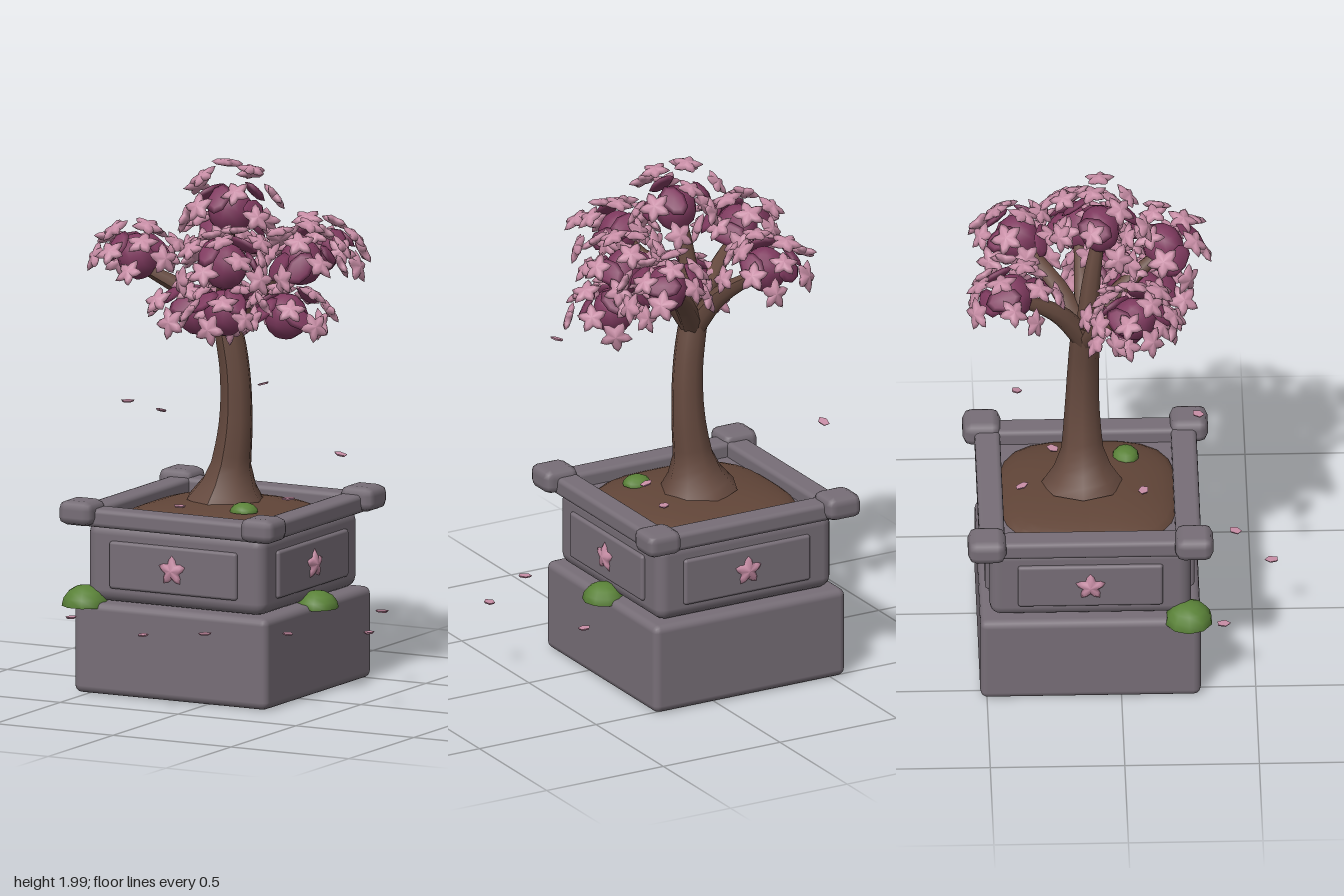
import * as THREE from 'three';
import { mergeGeometries } from 'three/addons/utils/BufferGeometryUtils.js';
import { RoundedBoxGeometry } from 'three/addons/geometries/RoundedBoxGeometry.js';

const CX = -0.15, CZ = -0.115; // centre of the planter
const mat = (name, color, side = THREE.FrontSide) => {
  const m = new THREE.MeshStandardMaterial({ color, side });
  m.name = name;
  return m;
};
const stone = mat('stone grey', 0x776e77);
const bark = mat('bark brown', 0x664a3f);
const soilMat = mat('soil brown', 0x614538);
const plum = mat('foliage plum', 0x7f3a5f);
const pink = mat('blossom pink', 0xc88ea6);
const green = mat('moss green', 0x5a8238);

let seed = 7;
const rand = () => (seed = (seed * 16807) % 2147483647) / 2147483647;
const V = (x, y, z) => new THREE.Vector3(x, y, z);

function add(parent, name, geo, material, x = 0, y = 0, z = 0) {
  const mesh = new THREE.Mesh(geo, material);
  mesh.name = name;
  mesh.position.set(x, y, z);
  parent.add(mesh);
  return mesh;
}

// Moves every vertex by a rule and refreshes the normals
function reshape(geo, rule) {
  const p = geo.attributes.position, v = V(0, 0, 0);
  for (let i = 0; i < p.count; i++) {
    rule(v.fromBufferAttribute(p, i), i);
    p.setXYZ(i, v.x, v.y, v.z);
  }
  geo.computeVertexNormals();
  return geo;
}

// Puffy five-pointed blossom of radius 1 facing +y
const blossomShape = reshape(new THREE.SphereGeometry(1, 20, 4), v => {
  const k = 0.77 + 0.23 * Math.cos(5 * Math.atan2(v.z, v.x));
  v.set(v.x * k, v.y * 0.24, v.z * k);
});

// Copy of a geometry at a point, its +y turned to a normal
function placed(geo, pos, normal, spin, sx, sy = sx, sz = sx) {
  const q = new THREE.Quaternion().setFromUnitVectors(V(0, 1, 0), normal.clone().normalize());
  q.multiply(new THREE.Quaternion().setFromAxisAngle(V(0, 1, 0), spin));
  return geo.clone().applyMatrix4(new THREE.Matrix4().compose(pos, q, V(sx, sy, sz)));
}

// Tube along points whose radius follows a list
function limb(points, radii, sides, steps) {
  const curve = new THREE.CatmullRomCurve3(points.map(p => V(...p)));
  const geo = new THREE.TubeGeometry(curve, steps, 1, sides);
  return reshape(geo, (v, i) => {
    const t = Math.floor(i / (sides + 1)) / steps;
    const f = t * (radii.length - 1), a = Math.min(Math.floor(f), radii.length - 2);
    const r = THREE.MathUtils.lerp(radii[a], radii[a + 1], f - a);
    const c = curve.getPointAt(t);
    v.sub(c).multiplyScalar(r).add(c);
  });
}

function buildPlanter() {
  const g = new THREE.Group();
  g.name = 'planter';
  g.position.set(CX, 0, CZ);
  add(g, 'baseBlock', new RoundedBoxGeometry(0.82, 0.345, 0.82, 2, 0.028), stone, 0, 0.1725, 0);
  add(g, 'potBody', new RoundedBoxGeometry(0.75, 0.3, 0.75, 2, 0.045), stone, 0, 0.495, 0);

  // One decorated side, rim bar and corner post per quarter turn
  for (let i = 0; i < 4; i++) {
    const side = new THREE.Group();
    side.name = 'planterSide';
    side.rotation.y = i * Math.PI / 2;
    g.add(side);
    add(side, 'raisedPanel', new RoundedBoxGeometry(0.54, 0.18, 0.03, 2, 0.012), stone, 0, 0.49, 0.374);
    const flower = add(side, 'panelBlossom', blossomShape, pink, 0, 0.49, 0.391);
    flower.scale.setScalar(0.058);
    flower.rotation.set(Math.PI / 2, Math.PI / 2, 0);
    add(side, 'rimBar', new RoundedBoxGeometry(0.76, 0.07, 0.095, 2, 0.018), stone, 0, 0.665, 0.365);
    add(side, 'cornerPost', new RoundedBoxGeometry(0.142, 0.092, 0.142, 1, 0.032), stone, 0.385, 0.681, 0.385);
  }

  // Soil: a low dome with a rounded square outline
  const dome = reshape(new THREE.SphereGeometry(1, 32, 8, 0, Math.PI * 2, 0, Math.PI / 2), v => {
    const a = Math.atan2(v.z, v.x), n = 3.2;
    const k = Math.pow(Math.abs(Math.cos(a)) ** n + Math.abs(Math.sin(a)) ** n, -1 / n);
    v.set(v.x * k * 0.335, v.y * 0.07, v.z * k * 0.335);
  });
  add(g, 'soil', dome, soilMat, 0, 0.635, 0);
  return g;
}

// Foliage clusters: x, y, z, vertical spread of blossoms
const clusters = [
  [-0.42, 1.62, 0.05, 0.12], [-0.28, 1.63, -0.40, 0.13], [0.12, 1.62, -0.37, 0.12],
  [-0.09, 1.80, -0.07, 0.185], [0.02, 1.64, 0.17, 0.14], [0.17, 1.62, -0.14, 0.14],
  [0.16, 1.43, -0.04, 0.12], [-0.18, 1.43, 0.03, 0.12], [-0.02, 1.45, 0.1, 0.12],
];

function buildTree() {
  const g = new THREE.Group();
  g.name = 'tree';
  add(g, 'trunk', limb(
    [[-0.145, 0.69, -0.135], [-0.13, 0.8, -0.135], [-0.105, 1.0, -0.135], [-0.108, 1.2, -0.13], [-0.145, 1.42, -0.12]],
    [0.155, 0.105, 0.078, 0.071, 0.066, 0.062, 0.06, 0.058, 0.057, 0.055, 0.053], 8, 20), bark);
  // Branches fan out from the crown of the trunk
  const tips = [[-0.4, 1.58, 0.04], [-0.27, 1.61, -0.38], [0.11, 1.6, -0.35],
    [-0.1, 1.8, -0.07], [0.0, 1.62, 0.15], [0.15, 1.6, -0.14]];
  const branches = tips.map(t => limb([[-0.135, 1.33, -0.122],
    [-0.135 + (t[0] + 0.135) * 0.4, 1.33 + (t[1] - 1.33) * 0.55, -0.122 + (t[2] + 0.122) * 0.4], t],
  [0.045, 0.036, 0.022], 7, 8));
  add(g, 'branches', mergeGeometries(branches), bark);

  const ball = new THREE.SphereGeometry(1, 10, 7);
  const leaf = new THREE.SphereGeometry(1, 8, 4);
  const foliage = [], blossoms = [];
  clusters.forEach(([x, y, z, h], c) => {
    const centre = V(x, y, z);
    foliage.push(placed(ball, centre, V(rand() - 0.5, 2, rand() - 0.5), rand() * 6, 0.085, 0.088, 0.075));
    // Dark leaves around each ball
    for (let i = 0; i < 4; i++) {
      const a = i * Math.PI / 2 + c + rand();
      const d = V(Math.cos(a), rand() * 0.8 - 0.1, Math.sin(a));
      foliage.push(placed(leaf, centre.clone().addScaledVector(d, 0.1), d.clone().add(V(0, 0.4, 0)), rand() * 6, 0.07, 0.014, 0.045));
    }
    // Blossoms spread over the upper part of a shell
    const n = 13;
    for (let i = 0; i < n; i++) {
      const e = 1 - 1.45 * (i + 0.3) / n, a = i * 2.39996 + c * 1.3;
      const r = Math.sqrt(1 - e * e), s = 0.85 + rand() * 0.22;
      const d = V(Math.cos(a) * r, e, Math.sin(a) * r);
      const pos = V(x + d.x * 0.165 * s, Math.min(y + d.y * h * s, 1.978), z + d.z * 0.165 * s);
      const normal = d.clone().add(V(rand() - 0.5, 0.25 + rand() * 0.5, rand() - 0.5));
      blossoms.push(placed(blossomShape, pos, normal, rand() * 6, 0.058 + rand() * 0.008));
    }
  });
  add(g, 'foliage', mergeGeometries(foliage), plum);
  add(g, 'blossoms', mergeGeometries(blossoms), pink);
  return g;
}

function buildPetals() {
  const petal = reshape(new THREE.CylinderGeometry(1, 0.8, 0.25, 5), v => { v.x *= 0.75; });
  const spots = [
    [0.43, 0.3, -0.29], [0.6, 0.3, 0.12], [0.35, 0.3, 0.29], [0.08, 0.3, 0.44], [-0.11, 0.3, 0.57], [-0.52, 0.3, 0.38],
    [-0.33, 1.12, 0.29], [0.23, 1.23, 0.26], [-0.55, 0.96, -0.37], [0.21, 0.86, -0.37],
    [-0.22, 0.7, 0.09], [0.06, 0.7, -0.24],
  ];
  const geos = spots.map(([x, y, z], i) => {
    const tilt = i > 5 && i < 10 ? 0.9 : 0;
    return placed(petal, V(x, y, z), V((rand() - 0.5) * tilt, 1, (rand() - 0.5) * tilt), rand() * 6, 0.027);
  });
  return new THREE.Mesh(mergeGeometries(geos), pink);
}

export function createModel() {
  const model = new THREE.Group();
  model.name = 'blossomTreeInPlanter';
  model.add(buildPlanter(), buildTree());
  const petals = buildPetals();
  petals.name = 'fallingPetals';
  model.add(petals);

  // Moss cushions: position, then radii
  const cushions = [[-0.53, 0.325, 0.25, 0.09, 0.078, 0.09], [0.25, 0.325, -0.12, 0.078, 0.066, 0.082],
    [0.02, 0.69, 0.03, 0.055, 0.036, 0.05]];
  for (const [x, y, z, rx, ry, rz] of cushions) {
    const top = new THREE.SphereGeometry(1, 10, 4, 0, Math.PI * 2, 0, Math.PI / 2);
    const base = new THREE.CircleGeometry(1, 10).rotateX(Math.PI / 2);
    add(model, 'moss', mergeGeometries([top, base]), green, x, y, z).scale.set(rx, ry, rz);
  }
  return model;
}
